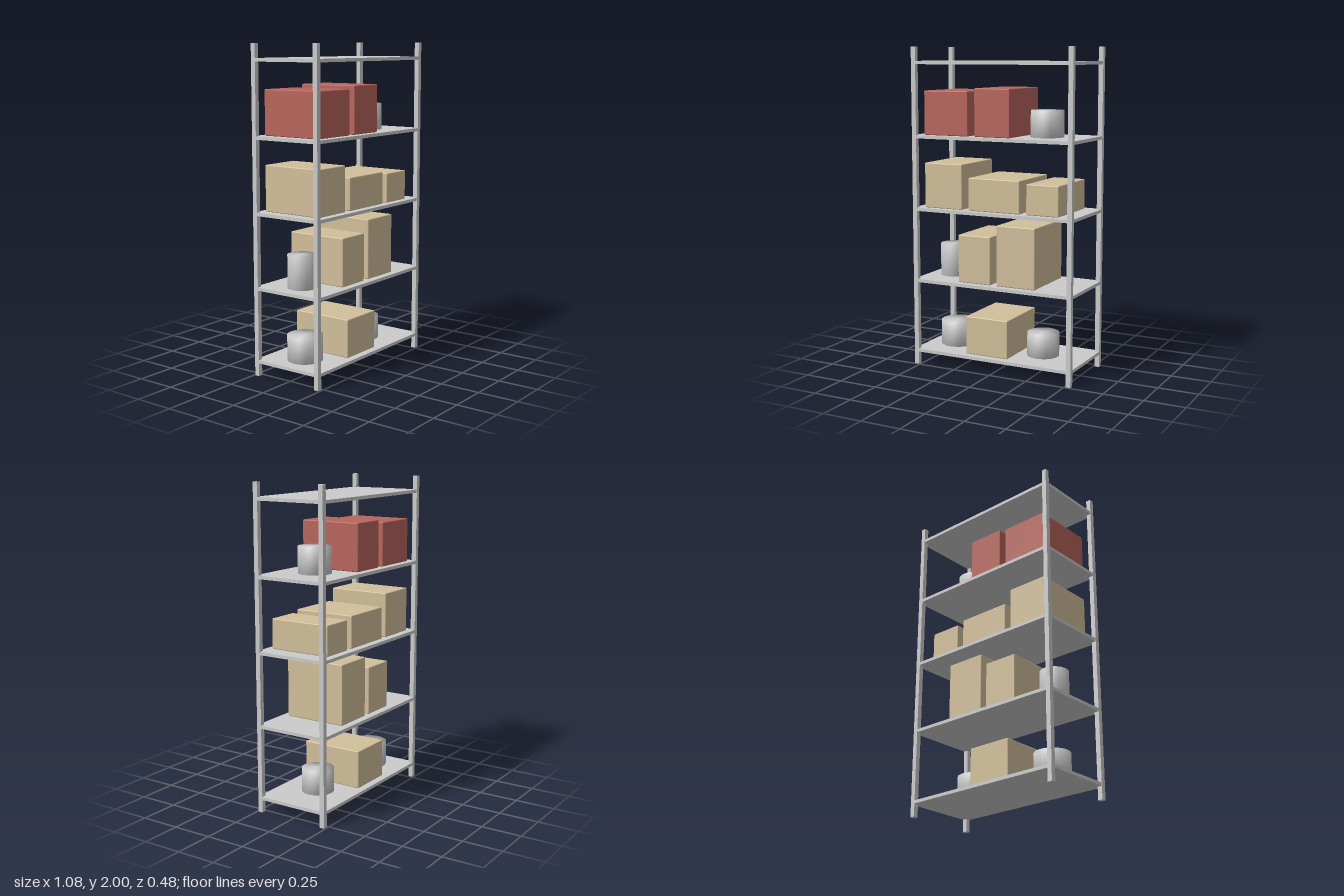
import * as THREE from 'three';
import { mergeVertices } from 'three/addons/utils/BufferGeometryUtils.js';
import { RoundedBoxGeometry } from 'three/addons/geometries/RoundedBoxGeometry.js';

const HALF_W = 0.54, HALF_D = 0.242, POST = 0.03, BOARD = 0.02;
const LEVELS = [0.1, 0.553, 1.007, 1.46, 1.913]; // top face of each board

const grey = new THREE.MeshStandardMaterial({ color: 0xcccccc });
const tan = new THREE.MeshStandardMaterial({ color: 0xd2bf9b });
const red = new THREE.MeshStandardMaterial({ color: 0xb8655c });

// Goods on each shelf: [x from, x to, top y]
const boxes = [
  [[-0.19, 0.098, 0.341]],
  [[-0.241, -0.019, 0.852], [0.023, 0.282, 0.929]],
  [[-0.476, -0.213, 1.288], [-0.168, 0.179, 1.209], [0.224, 0.435, 1.193]],
  [[-0.476, -0.171, 1.733], [-0.125, 0.113, 1.752]],
];
const cans = [
  [[-0.464, -0.246, 0.257], [0.15, 0.35, 0.247]],
  [[-0.469, -0.294, 0.757]],
  [],
  [[0.169, 0.372, 1.622]],
];

// Cylinder whose normals blend softly over the rims
function softCylinder(radius, height) {
  const geometry = new THREE.CylinderGeometry(radius, radius, height, 32);
  geometry.deleteAttribute('normal');
  geometry.deleteAttribute('uv');
  const merged = mergeVertices(geometry, 1e-4);
  merged.computeVertexNormals();
  return merged;
}

export function createModel() {
  const model = new THREE.Group();
  model.name = 'storageRack';

  const add = (parent, name, geometry, material, x, y, z) => {
    const mesh = new THREE.Mesh(geometry, material);
    mesh.name = name;
    mesh.position.set(x, y, z);
    parent.add(mesh);
  };

  // Four corner posts
  const postGeometry = new THREE.BoxGeometry(POST, 2, POST);
  for (const [sx, side] of [[1, 'Left'], [-1, 'Right']]) {
    for (const [sz, end] of [[1, 'front'], [-1, 'back']]) {
      add(model, `${end}${side}Post`, postGeometry, grey,
        sx * (HALF_W - POST / 2), 1, sz * (HALF_D - POST / 2));
    }
  }

  // Boards, a hair inside the posts' outer faces
  const boardGeometry = new THREE.BoxGeometry(2 * HALF_W - 0.002, BOARD, 2 * HALF_D - 0.002);
  LEVELS.forEach((top, i) => {
    const shelf = new THREE.Group();
    shelf.name = `shelf${i + 1}`;
    model.add(shelf);
    add(shelf, 'board', boardGeometry, grey, 0, top - BOARD / 2, 0);

    // Cartons standing on the board
    for (const [x0, x1, y1] of boxes[i] ?? []) {
      add(shelf, 'carton', new RoundedBoxGeometry(x1 - x0, y1 - top, 0.398, 2, 0.006),
        i === 3 ? red : tan, (x0 + x1) / 2, (top + y1) / 2, 0);
    }
    // Round canisters
    for (const [x0, x1, y1] of cans[i] ?? []) {
      add(shelf, 'canister', softCylinder((x1 - x0) / 2, y1 - top), grey,
        (x0 + x1) / 2, (top + y1) / 2, 0);
    }
  });

  return model;
}
